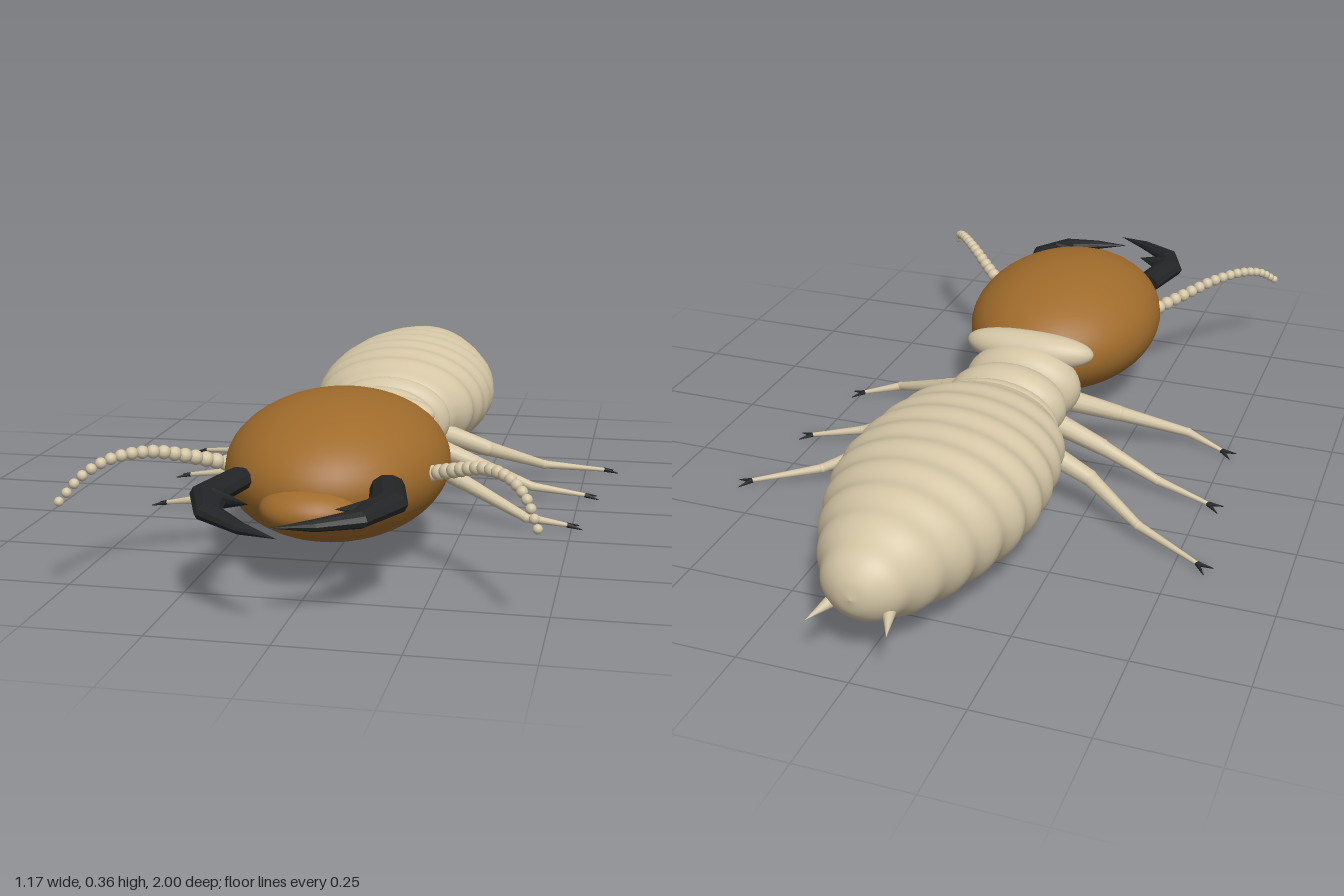
import * as THREE from 'three';

const V = (x, y, z) => new THREE.Vector3(x, y, z);
const UP = V(0, 1, 0);

// Skin through elliptical rings { c: centre, u, v: half axes }, with u x v along the path
function loft(rings, sides) {
  const pos = [], idx = [];
  rings.forEach(({ c, u, v }, i) => {
    for (let j = 0; j < sides; j++) {
      const a = (j / sides) * Math.PI * 2;
      const p = c.clone().addScaledVector(u, Math.cos(a)).addScaledVector(v, Math.sin(a));
      pos.push(p.x, p.y, p.z);
      if (i + 1 < rings.length) {
        const k = i * sides + j, l = i * sides + ((j + 1) % sides);
        idx.push(k, l, k + sides, l, l + sides, k + sides);
      }
    }
  });
  const g = new THREE.BufferGeometry();
  g.setAttribute('position', new THREE.Float32BufferAttribute(pos, 3));
  g.setIndex(idx);
  g.computeVertexNormals();
  return g;
}

const bodyRing = (y, z, rx, ry) => ({ c: V(0, y, z), u: V(rx, 0, 0), v: V(0, ry, 0) });

export function createModel() {
  const model = new THREE.Group();
  model.name = 'termiteSoldier';
  const mat = (name, color) => {
    const m = new THREE.MeshStandardMaterial({ color });
    m.name = name;
    return m;
  };
  const cream = mat('cream', 0xd3c5a5);
  const amber = mat('amber', 0x9f6b2b);
  const black = mat('black', 0x232425);

  const add = (parent, name, geometry, material) => {
    const m = new THREE.Mesh(geometry, material);
    m.name = name;
    parent.add(m);
    return m;
  };
  const group = (name) => {
    const g = new THREE.Group();
    g.name = name;
    model.add(g);
    return g;
  };
  const ball = (parent, name, material, c, r, seg = 32) => {
    const m = add(parent, name, new THREE.SphereGeometry(1, seg, Math.ceil(seg * 0.6)), material);
    m.position.copy(c);
    m.scale.copy(r);
    return m;
  };
  // Tapered rod from a to b
  const rod = (parent, name, material, a, b, ra, rb, sides = 12) => {
    const d = b.clone().sub(a);
    const m = add(parent, name, new THREE.CylinderGeometry(rb, ra, d.length(), sides), material);
    m.position.copy(a).addScaledVector(d, 0.5);
    m.quaternion.setFromUnitVectors(UP, d.normalize());
    return m;
  };

  // Head and upper lip
  ball(model, 'head', amber, V(0, 0.202, 0.4), V(0.245, 0.158, 0.32), 48);
  ball(model, 'upperLip', amber, V(0, 0.173, 0.68), V(0.105, 0.052, 0.085));

  // Collar plate, a broad ellipsoid with blunt ends
  const plate = new THREE.SphereGeometry(1, 40, 24);
  plate.rotateZ(Math.PI / 2);
  const pp = plate.attributes.position;
  for (let i = 0; i < pp.count; i++) {
    const x = pp.getX(i);
    pp.setXYZ(i, Math.sign(x) * Math.abs(x) ** 0.85 * 0.165, pp.getY(i) * 0.046, pp.getZ(i) * 0.05 + 0.012 * x * x);
  }
  plate.computeVertexNormals();
  add(model, 'collarPlate', plate, cream).position.set(0, 0.245, 0.084);

  // Thorax: three blunt rings [y, z, rx, ry, rz]
  [[0.168, 0.045, 0.148, 0.102, 0.068], [0.172, -0.078, 0.15, 0.1, 0.065], [0.17, -0.175, 0.163, 0.108, 0.05]]
    .forEach(([y, z, rx, ry, rz], i) => {
      const rings = [];
      for (let k = 0; k <= 24; k++) {
        const a = (k / 24 - 0.5) * Math.PI;
        const r = Math.max(Math.cos(a), 0) ** 0.6;
        rings.push(bodyRing(y, z + rz * Math.sin(a), rx * r, ry * r));
      }
      add(model, 'thoraxRing' + (i + 1), loft(rings, 40), cream);
    });

  // Abdomen: envelope of (z, rx, ry) with a ripple for each segment
  const envelope = new THREE.CatmullRomCurve3([
    V(-0.973, 0, 0), V(-0.962, 0.042, 0.04), V(-0.935, 0.078, 0.07), V(-0.88, 0.112, 0.1),
    V(-0.8, 0.152, 0.126), V(-0.7, 0.189, 0.142), V(-0.6, 0.218, 0.15), V(-0.5, 0.23, 0.15),
    V(-0.4, 0.226, 0.146), V(-0.3, 0.212, 0.134), V(-0.22, 0.186, 0.118), V(-0.18, 0.14, 0.09), V(-0.17, 0, 0),
  ]);
  const abdomen = [];
  for (let k = 0; k <= 130; k++) {
    const p = envelope.getPoint(k / 130);
    const ripple = 1 + 0.024 * Math.cos(((p.x + 0.515) / 0.084) * Math.PI * 2);
    abdomen.push(bodyRing(0.177, p.x, p.y * ripple, p.z * ripple));
  }
  add(model, 'abdomen', loft(abdomen, 48), cream);

  // Jaws: flat hooked blades, one longer than the other
  const jaw = (name, s, points) => {
    const g = group(name);
    const path = points.map(([x, y, z]) => V(s * x, y, z));
    const rings = path.map((c, i) => {
      const d = V(0, 0, 0);
      if (i > 0) d.add(c.clone().sub(path[i - 1]).normalize());
      if (i + 1 < path.length) d.add(path[i + 1].clone().sub(c).normalize());
      d.y = 0;
      const u = UP.clone().cross(d.normalize());
      return { c, u: u.multiplyScalar(points[i][3]), v: V(0, points[i][4], 0) };
    });
    rings.unshift({ c: path[0], u: V(0, 0, 0), v: V(0, 0, 0) });
    const blade = loft(rings, 10).toNonIndexed();
    blade.computeVertexNormals();
    add(g, 'jawBlade', blade, black);
    const tooth = rod(g, 'jawTooth', black, V(s * 0.162, 0.22, 0.8), V(s * 0.086, 0.22, 0.828), 0.026, 0, 8);
    tooth.scale.set(1, 1, 0.6);
  };
  jaw('rightJaw', -1, [
    [0.155, 0.222, 0.645, 0.036, 0.023], [0.183, 0.221, 0.775, 0.04, 0.024],
    [0.152, 0.216, 0.882, 0.028, 0.018], [0.07, 0.211, 0.952, 0.016, 0.012], [-0.016, 0.209, 1, 0, 0]]);
  jaw('leftJaw', 1, [
    [0.155, 0.222, 0.645, 0.036, 0.023], [0.181, 0.221, 0.77, 0.04, 0.024],
    [0.142, 0.216, 0.868, 0.028, 0.018], [0.065, 0.211, 0.91, 0.016, 0.012], [-0.016, 0.209, 0.937, 0, 0]]);

  for (const s of [1, -1]) {
    const side = s > 0 ? 'left' : 'right';

    // Beaded antenna
    const antenna = group(side + 'Antenna');
    const curve = new THREE.CatmullRomCurve3([
      V(0.225, 0.215, 0.51), V(0.285, 0.24, 0.565), V(0.35, 0.264, 0.63),
      V(0.41, 0.266, 0.705), V(0.45, 0.245, 0.77), V(0.478, 0.205, 0.832)]);
    for (let i = 0; i < 18; i++) {
      const t = i / 17, r = 0.018 - 0.008 * t;
      const p = curve.getPointAt(t);
      ball(antenna, 'antennaBead', cream, V(s * p.x, p.y, p.z), V(r, r, r), 14);
    }

    // Tail spike
    rod(model, side + 'TailSpike', cream, V(s * 0.062, 0.136, -0.93), V(s * 0.086, 0.13, -1), 0.014, 0);

    // Legs: hip, thigh joint, knee, foot
    [
      ['Front', V(0.12, 0.135, 0.055), V(0.23, 0.092, 0.108), V(0.395, 0.03, 0.18), V(0.49, 0.009, 0.152)],
      ['Middle', V(0.12, 0.135, -0.068), V(0.24, 0.09, -0.07), V(0.385, 0.032, -0.085), V(0.515, 0.009, -0.112)],
      ['Back', V(0.13, 0.135, -0.2), V(0.255, 0.09, -0.222), V(0.395, 0.034, -0.3), V(0.55, 0.009, -0.37)],
    ].forEach(([name, ...joints]) => {
      const leg = group(side + name + 'Leg');
      const [hip, joint, knee, foot] = joints.map((p) => V(s * p.x, p.y, p.z));
      rod(leg, 'hip', cream, hip, joint, 0.027, 0.02);
      ball(leg, 'thighJoint', cream, joint, V(0.02, 0.02, 0.02), 14);
      rod(leg, 'thigh', cream, joint, knee, 0.019, 0.011);
      ball(leg, 'knee', cream, knee, V(0.012, 0.012, 0.012), 12);
      rod(leg, 'shin', cream, knee, foot, 0.011, 0.005);
      // Paired claws spread from the foot
      const dir = foot.clone().sub(knee).setY(0).normalize();
      const across = UP.clone().cross(dir);
      for (const k of [1, -1]) {
        const tip = foot.clone().addScaledVector(dir, 0.032).addScaledVector(across, k * 0.018).setY(0.002);
        rod(leg, 'claw', black, foot, tip, 0.006, 0.001, 6);
      }
    });
  }
  return model;
}
